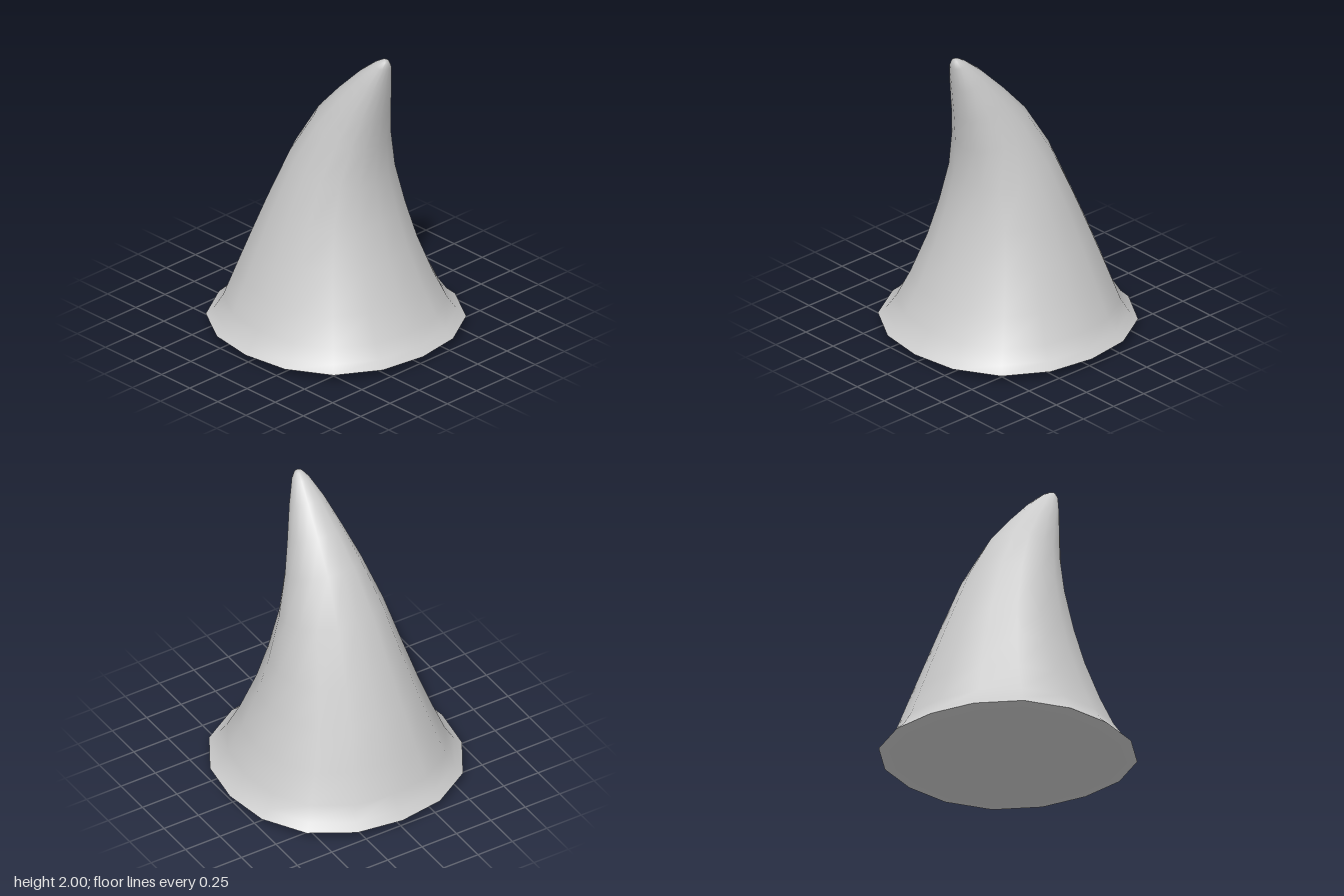
import * as THREE from 'three';
import { mergeVertices } from 'three/addons/utils/BufferGeometryUtils.js';

const SIDES = 16;

// Skins tilted rings given as [frontZ, frontY, backZ, backY, halfWidth]
function loft(rings) {
  const pos = [], index = [];
  for (const [fz, fy, bz, by, w] of rings) {
    for (let i = 0; i < SIDES; i++) {
      const a = (i / SIDES) * Math.PI * 2;
      const k = 1 + 0.02 * (1 - Math.cos(4 * a)); // slightly squared circle
      const c = Math.cos(a) * k;
      pos.push(Math.sin(a) * k * w, (fy + by) / 2 + c * (fy - by) / 2, (fz + bz) / 2 + c * (fz - bz) / 2);
    }
  }
  for (let r = 0; r < rings.length - 1; r++) {
    for (let i = 0; i < SIDES; i++) {
      const j = (i + 1) % SIDES;
      const a = r * SIDES + i, b = r * SIDES + j, c = b + SIDES, d = a + SIDES;
      index.push(a, b, c, a, c, d);
    }
  }
  let geo = new THREE.BufferGeometry();
  geo.setAttribute('position', new THREE.Float32BufferAttribute(pos, 3));
  geo.setIndex(index);
  geo = mergeVertices(geo, 1e-5); // join the collapsed end rings into single points
  geo.computeVertexNormals();
  return geo;
}

export function createModel() {
  const group = new THREE.Group();
  group.name = 'curvedHorn';
  const material = new THREE.MeshStandardMaterial({ color: 0xcccccc });

  // Horn: flared foot, tapering and bending forward to a rounded tip
  const horn = new THREE.Mesh(loft([
    [0.772, 0.055, -0.772, 0.055, 0.772],
    [0.72, 0.10, -0.725, 0.10, 0.72],
    [0.66, 0.18, -0.67, 0.19, 0.665],
    [0.575, 0.35, -0.60, 0.39, 0.585],
    [0.475, 0.60, -0.50, 0.65, 0.49],
    [0.405, 0.84, -0.40, 0.89, 0.415],
    [0.355, 1.10, -0.24, 1.25, 0.325],
    [0.365, 1.35, -0.07, 1.53, 0.24],
    [0.395, 1.56, 0.09, 1.71, 0.175],
    [0.435, 1.78, 0.25, 1.87, 0.11],
    [0.463, 1.94, 0.36, 1.96, 0.055],
    [0.46, 1.985, 0.41, 1.99, 0.025],
    [0.44, 2.0, 0.44, 2.0, 0],
  ]), material);
  horn.name = 'horn';
  group.add(horn);

  // Base: shallow dome closing the underside
  const domeRings = [0, 0.3, 0.55, 0.75, 0.9, 1].map((t) => {
    const r = 0.772 * t, y = 0.055 * t ** 3;
    return [r, y, -r, y, r];
  });
  const base = new THREE.Mesh(loft(domeRings), material);
  base.name = 'base';
  group.add(base);

  return group;
}
